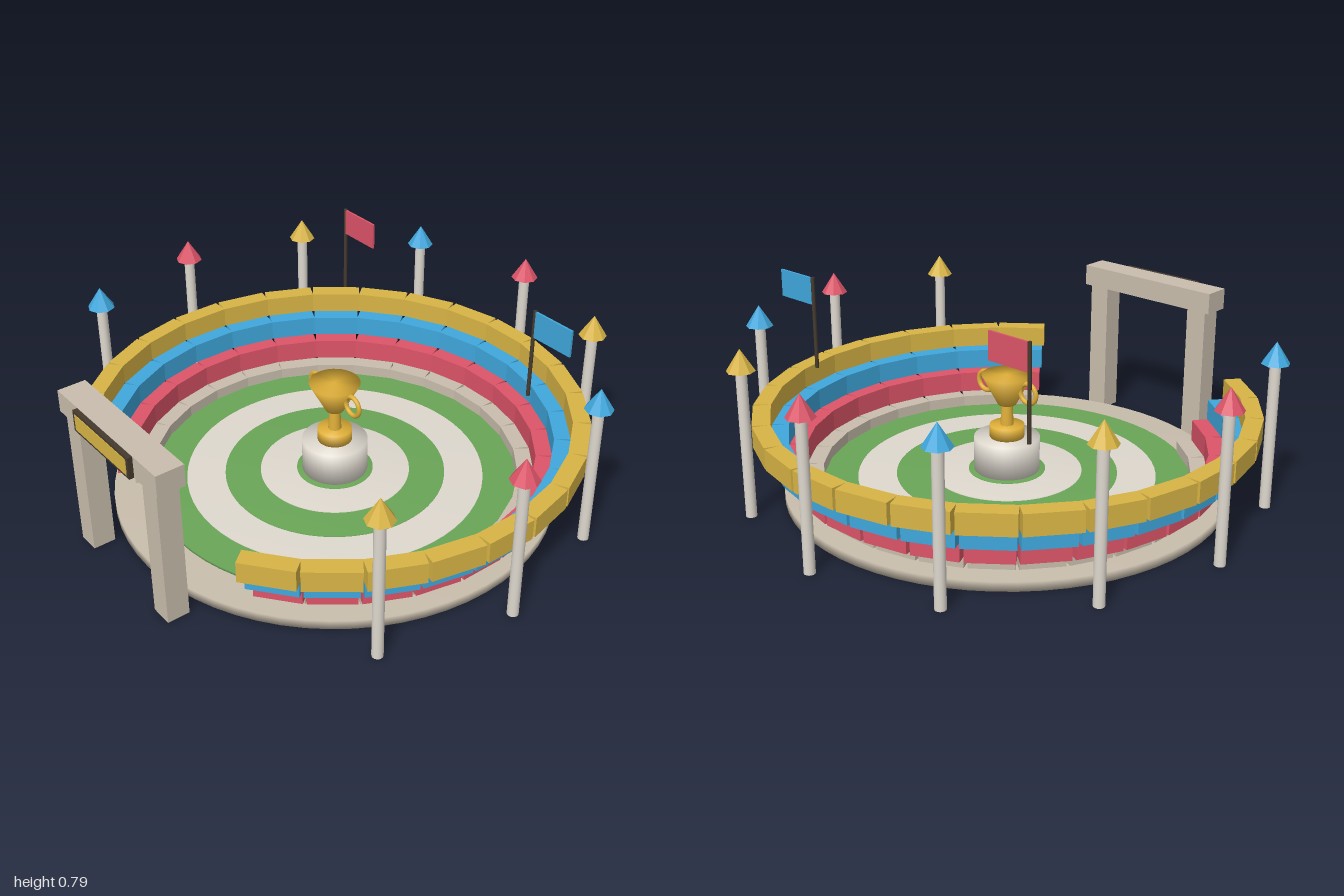
import * as THREE from 'three';

const paint = (name, color) => {
  const m = new THREE.MeshStandardMaterial({ color });
  m.name = name;
  return m;
};

export function createModel() {
  const root = new THREE.Group();
  root.name = 'arena';
  const stone = paint('stone', 0xc8bdac);
  const cream = paint('cream', 0xded8ce);
  const green = paint('grass green', 0x6aa557);
  const red = paint('red', 0xdc5468);
  const blue = paint('blue', 0x3fa7dc);
  const gold = paint('gold', 0xd8b445);
  const trophyGold = paint('trophy gold', 0xdfaf38);
  const dark = paint('dark wood', 0x453a2e);

  const add = (parent, name, geo, mat, x = 0, y = 0, z = 0) => {
    const mesh = new THREE.Mesh(geo, mat);
    mesh.name = name;
    mesh.position.set(x, y, z);
    parent.add(mesh);
    return mesh;
  };
  const group = (parent, name) => {
    const g = new THREE.Group();
    g.name = name;
    parent.add(g);
    return g;
  };
  const lathe = (pts, sides) =>
    new THREE.LatheGeometry(pts.map(([r, y]) => new THREE.Vector2(r, y)), sides);
  // softly shaded solid disc
  const disc = (r, y0, y1, sides = 64) => lathe([[0, y0], [r, y0], [r, y1], [0, y1]], sides);

  // everything round shares one centre, slightly forward of the origin
  const bowl = group(root, 'bowl');
  bowl.position.z = 0.026;

  // floor and concentric field rings
  add(bowl, 'base', disc(0.822, 0, 0.035), stone);
  [0.685, 0.553, 0.41, 0.278, 0.142].forEach((r, i) =>
    add(bowl, 'fieldRing', disc(r, 0.03, 0.045 + i * 0.004), i % 2 ? cream : green));

  // stepped stands made of box segments, open at the front
  const SEGMENTS = 23;
  const OPENING = THREE.MathUtils.degToRad(32);
  const step = (2 * Math.PI - 2 * OPENING) / SEGMENTS;
  const tiers = [
    ['stoneTier', stone, 0.675, 0.03, 0.087],
    ['redTier', red, 0.735, 0.087, 0.168],
    ['blueTier', blue, 0.795, 0.168, 0.246],
    ['goldTier', gold, 0.855, 0.246, 0.324],
  ];
  for (const [name, mat, inner, y0, y1] of tiers) {
    const tier = group(bowl, name);
    const depth = 0.065;
    const width = 2 * inner * Math.tan(step / 2) * 1.01;
    const geo = new THREE.BoxGeometry(width, y1 - y0, depth);
    for (let i = 0; i < SEGMENTS; i++) {
      const a = OPENING + (i + 0.5) * step;
      const r = inner + depth / 2;
      add(tier, 'segment', geo, mat, r * Math.sin(a), (y0 + y1) / 2, r * Math.cos(a)).rotation.y = a;
    }
  }

  // slim towers with faceted pointed roofs
  const shaftGeo = new THREE.CylinderGeometry(0.02, 0.02, 0.55, 16);
  const roofGeo = new THREE.ConeGeometry(0.051, 0.08, 8).toNonIndexed();
  roofGeo.computeVertexNormals();
  for (let i = 0; i < 9; i++) {
    const a = THREE.MathUtils.degToRad(60 + 30 * i);
    const tower = group(bowl, 'tower');
    tower.position.set(0.95 * Math.sin(a), 0, 0.95 * Math.cos(a));
    add(tower, 'shaft', shaftGeo, cream, 0, 0.275, 0);
    add(tower, 'roof', roofGeo, [gold, red, blue][i % 3], 0, 0.587, 0);
  }

  // pedestal and trophy
  add(bowl, 'pedestal', disc(0.122, 0.055, 0.188, 32), cream);
  const trophy = group(bowl, 'trophy');
  add(trophy, 'trophyFoot', disc(0.064, 0.185, 0.235, 32), trophyGold);
  add(trophy, 'trophyStem', new THREE.CylinderGeometry(0.02, 0.025, 0.1, 24), trophyGold, 0, 0.275, 0);
  add(trophy, 'trophyCup', lathe([[0, 0.315], [0.034, 0.315], [0.094, 0.43], [0, 0.43]], 32), trophyGold);
  for (const s of [1, -1]) {
    add(trophy, 'trophyHandle', new THREE.TorusGeometry(0.037, 0.009, 10, 28), trophyGold, s * 0.103, 0.38, 0);
  }

  // entrance gate
  const gate = group(root, 'gate');
  gate.position.z = 0.902;
  for (const s of [1, -1]) {
    add(gate, 'gatePost', new THREE.BoxGeometry(0.083, 0.54, 0.083), stone, s * 0.242, 0.27, 0);
  }
  add(gate, 'gateBeam', new THREE.BoxGeometry(0.614, 0.082, 0.104), stone, 0, 0.571, 0);
  add(gate, 'signFrame', new THREE.BoxGeometry(0.346, 0.08, 0.02), dark, 0, 0.571, 0.06);
  add(gate, 'signPanel', new THREE.BoxGeometry(0.32, 0.06, 0.004), gold, 0, 0.571, 0.07);

  // flags on raised poles
  for (const [x, mat] of [[-0.515, red], [0.515, blue]]) {
    const flag = group(root, 'flag');
    flag.position.set(x, 0, -0.434);
    add(flag, 'flagPole', new THREE.CylinderGeometry(0.007, 0.007, 0.34, 10), dark, 0, 0.622, 0);
    add(flag, 'flagCloth', new THREE.BoxGeometry(0.17, 0.1, 0.008), mat, 0.087, 0.74, 0);
  }
  return root;
}
